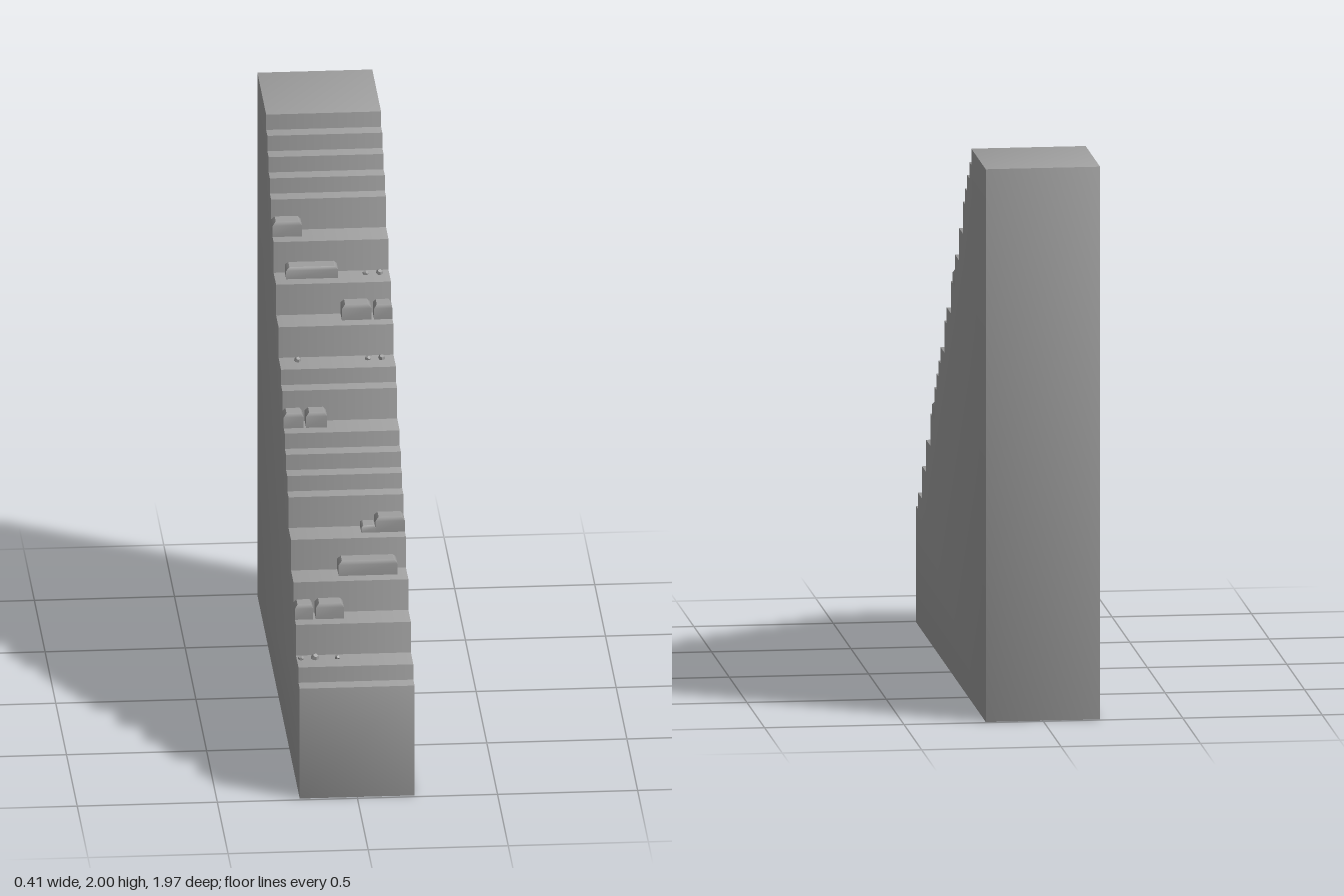
import * as THREE from 'three';

const WIDTH = 0.41, DEPTH = 1.974, FRONT = DEPTH / 2;
const STEPS = 27, BASE = 0.42;
const RISE = (2 - BASE) / STEPS, RUN = 0.058;
const WORN = [2, 4, 6, 8, 13, 16, 18, 20, 22]; // steps broken down to the tread below

const treadY = k => BASE + RISE * k;
const riserZ = k => FRONT - RUN * k;

// Lean each normal towards its outer corner, so worn edges shade softly
function softenNormals(geometry, amount) {
  const p = geometry.attributes.position, n = geometry.attributes.normal;
  const normal = new THREE.Vector3(), corner = new THREE.Vector3();
  for (let i = 0; i < p.count; i++) {
    corner.set(Math.sign(p.getX(i)), p.getY(i) < 0.001 ? -1 : 1, p.getZ(i) < 0.001 - FRONT ? -1 : 1);
    normal.fromBufferAttribute(n, i).addScaledVector(corner.normalize(), amount).normalize();
    n.setXYZ(i, normal.x, normal.y, normal.z);
  }
}

export function createModel() {
  const group = new THREE.Group();
  group.name = 'ruinedStaircase';
  const stone = new THREE.MeshStandardMaterial({ color: 0x9f9f9f });

  function add(name, geometry) {
    const mesh = new THREE.Mesh(geometry, stone);
    mesh.name = name;
    group.add(mesh);
    return mesh;
  }

  // Solid flight: side profile drawn in (z, y), extruded across the width
  const profile = new THREE.Shape();
  profile.moveTo(-FRONT, 0);
  profile.lineTo(FRONT, 0);
  let y = BASE;
  profile.lineTo(FRONT, y);
  for (let k = 1; k <= STEPS; k++) {
    if (WORN.includes(k)) continue;
    profile.lineTo(riserZ(k), y);
    y = treadY(k);
    profile.lineTo(riserZ(k), y);
  }
  profile.lineTo(-FRONT, y);
  const flight = new THREE.ExtrudeGeometry(profile, { depth: WIDTH, bevelEnabled: false });
  flight.translate(0, 0, -WIDTH / 2);
  flight.rotateY(-Math.PI / 2);
  softenNormals(flight, 0.35);
  add('stairFlight', flight);

  // Chipped stone: a box with its upper edge chamfered
  function block(name, x0, x1, y0, height, z0, z1) {
    const w = x1 - x0, d = z1 - z0;
    const g = new THREE.BoxGeometry(w, height, d, 1, 2, 1);
    const p = g.attributes.position;
    for (let i = 0; i < p.count; i++) {
      if (p.getY(i) > 0.001) {
        p.setX(i, p.getX(i) - Math.sign(p.getX(i)) * Math.min(0.012, w * 0.15));
        p.setZ(i, p.getZ(i) - Math.sign(p.getZ(i)) * Math.min(0.008, d * 0.15));
      } else if (p.getY(i) > -0.001) {
        p.setY(i, height * 0.25);
      }
    }
    g.computeVertexNormals();
    add(name, g).position.set((x0 + x1) / 2, y0 + height / 2, (z0 + z1) / 2);
  }

  // Remnants of the worn steps: [step, left x, right x, height]
  const remnants = [
    [4, -0.205, -0.14, 0.055], [4, -0.13, -0.03, 0.058],
    [6, -0.04, 0.17, 0.055],
    [8, 0.05, 0.1, 0.025], [8, 0.1, 0.205, 0.056],
    [13, -0.205, -0.135, 0.055], [13, -0.125, -0.05, 0.056],
    [18, 0.025, 0.13, 0.058], [18, 0.14, 0.205, 0.055],
    [20, -0.165, 0.02, 0.043],
    [22, -0.205, -0.1, 0.056],
  ];
  for (const [k, x0, x1, h] of remnants) {
    block('stepRemnant', x0, x1, treadY(k - 1), h, riserZ(k + 1), riserZ(k) + 0.008);
  }

  // Small chips lying on the worn treads: [step, x, size]
  const chips = [
    [2, -0.14, 0.03], [2, -0.06, 0.02], [2, -0.19, 0.022],
    [16, -0.14, 0.025], [16, 0.11, 0.022], [16, 0.16, 0.026],
    [20, 0.12, 0.022], [20, 0.17, 0.026],
  ];
  for (const [k, x, s] of chips) {
    const chip = add('stoneChip', new THREE.DodecahedronGeometry(s / 2));
    chip.position.set(x, treadY(k - 1) + s * 0.2, riserZ(k) - 0.02);
    chip.rotation.y = x * 20;
  }

  return group;
}
